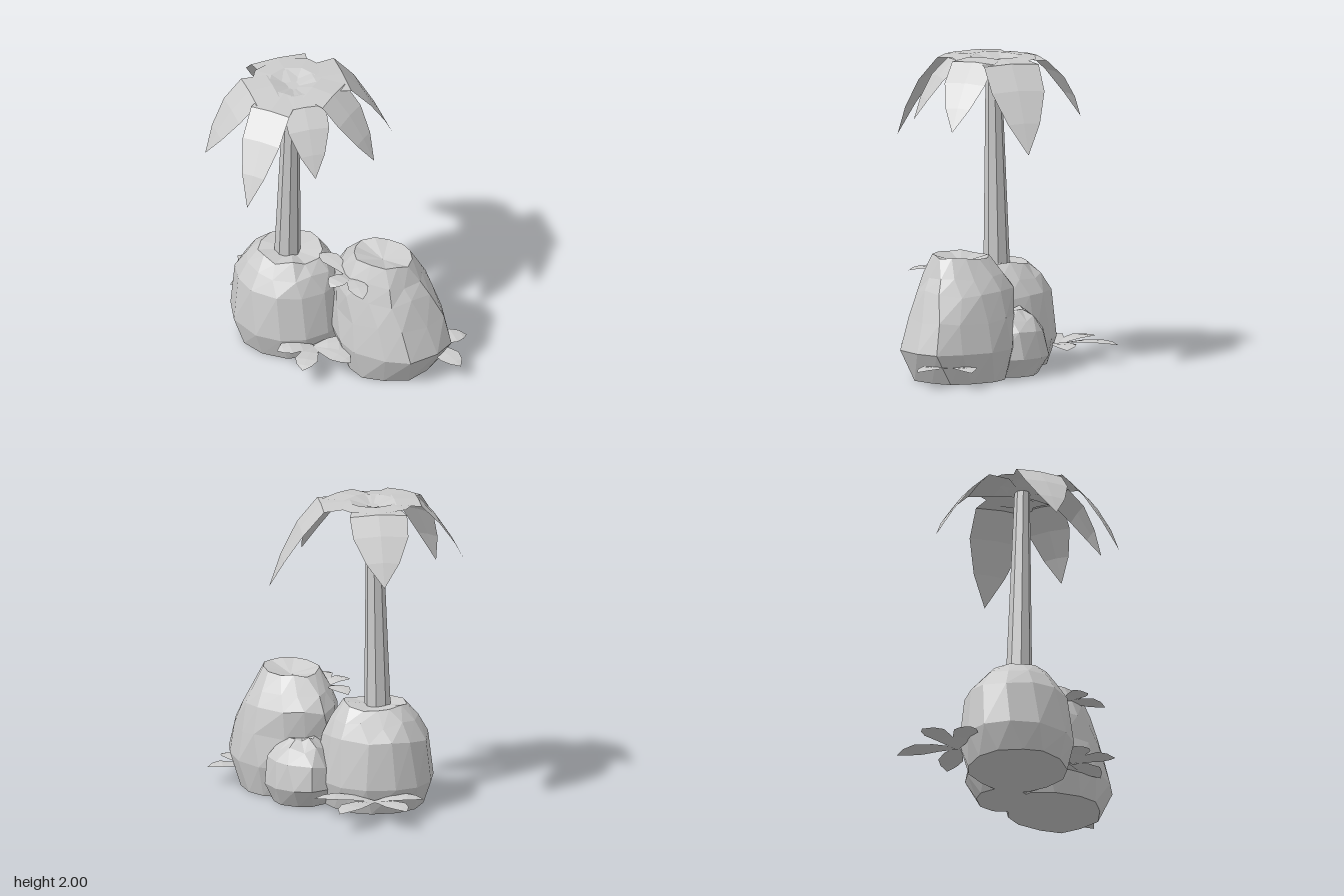
import * as THREE from 'three';

const stone = new THREE.MeshStandardMaterial({ color: 0xcccccc, flatShading: true, side: THREE.DoubleSide });
stone.name = 'pale grey';

// Small seeded generator for the uneven rock facets
function seeded(seed) {
  let s = seed;
  return () => (s = (s * 16807) % 2147483647) / 2147483647;
}

function buildMesh(name, positions, index) {
  const g = new THREE.BufferGeometry();
  g.setAttribute('position', new THREE.Float32BufferAttribute(positions, 3));
  g.setIndex(index);
  g.computeVertexNormals();
  const mesh = new THREE.Mesh(g, stone);
  mesh.name = name;
  return mesh;
}

// Faceted boulder from elliptical rings [y, cx, cz, rx, rz], closed above and below
function rock(name, rings, sides, topDip, seed) {
  const rnd = seeded(seed);
  const pos = [], idx = [];
  const columns = Array.from({ length: sides }, () => 0.96 + 0.08 * rnd());
  rings.forEach(([y, cx, cz, rx, rz], r) => {
    for (let i = 0; i < sides; i++) {
      const a = ((i + 0.2 * r + 0.3 * (rnd() - 0.5)) / sides) * Math.PI * 2;
      const k = columns[i] * (0.98 + 0.05 * rnd());
      const lift = r > 1 ? (rnd() - 0.5) * 0.035 : 0;
      pos.push(cx + Math.cos(a) * rx * k, y + lift, cz + Math.sin(a) * rz * k);
    }
  });
  for (let r = 0; r < rings.length - 1; r++) {
    for (let i = 0; i < sides; i++) {
      const j = (i + 1) % sides, a = r * sides, b = a + sides;
      idx.push(a + i, b + i, a + j, a + j, b + i, b + j);
    }
  }
  const last = (rings.length - 1) * sides, base = rings.length * sides;
  const low = rings[0], high = rings[rings.length - 1];
  pos.push(low[1], low[0], low[2], high[1], high[0] - topDip, high[2]);
  for (let i = 0; i < sides; i++) {
    const j = (i + 1) % sides;
    idx.push(base, i, j, base + 1, last + j, last + i);
  }
  return buildMesh(name, pos, idx);
}

// Creased blade along a direction: sections are [distance, y, halfWidth]
function blade(name, x, z, angle, sections, crease) {
  const pos = [], idx = [];
  const dx = Math.cos(angle), dz = Math.sin(angle);
  sections.forEach(([d, y, w], s) => {
    for (const side of [-1, 0, 1]) {
      pos.push(x + dx * d - dz * w * side, y - (side ? crease * w : 0), z + dz * d + dx * w * side);
    }
    if (s === 0) return;
    for (const k of [0, 1]) {
      const a = (s - 1) * 3 + k, b = a + 3;
      idx.push(a, a + 1, b, b, a + 1, b + 1);
    }
  });
  return buildMesh(name, pos, idx);
}

export function createModel() {
  const model = new THREE.Group();
  model.name = 'palmOnRocks';

  // Boulders
  model.add(
    rock('leftRock', [
      [0, -0.27, -0.02, 0.33, 0.315],
      [0.17, -0.28, -0.02, 0.385, 0.365],
      [0.46, -0.29, -0.02, 0.345, 0.325],
      [0.57, -0.28, -0.02, 0.28, 0.27],
      [0.66, -0.27, -0.02, 0.2, 0.2],
    ], 13, 0.02, 71),
    rock('rightRock', [
      [0, 0.38, -0.21, 0.32, 0.3],
      [0.2, 0.395, -0.21, 0.42, 0.335],
      [0.4, 0.365, -0.22, 0.39, 0.31],
      [0.57, 0.325, -0.22, 0.35, 0.28],
      [0.67, 0.33, -0.21, 0.29, 0.235],
      [0.79, 0.35, -0.2, 0.21, 0.165],
    ], 13, 0.05, 233),
    rock('smallRock', [
      [0, 0.05, -0.36, 0.18, 0.175],
      [0.12, 0.045, -0.36, 0.26, 0.235],
      [0.28, 0.045, -0.36, 0.235, 0.21],
      [0.37, 0.045, -0.36, 0.165, 0.155],
      [0.42, 0.045, -0.36, 0.085, 0.08],
    ], 11, 0.01, 509),
  );

  // Leaning, tapered trunk
  const trunkGeometry = new THREE.CylinderGeometry(0.05, 0.086, 1.36, 8);
  const p = trunkGeometry.attributes.position;
  for (let i = 0; i < p.count; i++) p.setX(i, p.getX(i) + 0.035 * (p.getY(i) / 1.36));
  const trunk = new THREE.Mesh(trunkGeometry, stone);
  trunk.name = 'trunk';
  trunk.position.set(-0.262, 1.28, 0);
  model.add(trunk);

  // Crown: drooping fronds meeting in a shallow cup, [tipX, tipY, tipZ, halfWidth]
  const crown = new THREE.Group();
  crown.name = 'crown';
  const cx = -0.24, cz = -0.01;
  const tips = [
    [-0.55, 1.57, 0.5, 0.155],
    [-0.08, 1.44, 0.65, 0.135],
    [0.2, 1.6, 0.3, 0.14],
    [0.34, 1.57, -0.12, 0.15],
    [0.12, 1.44, -0.57, 0.185],
    [-0.74, 1.57, -0.32, 0.185],
  ];
  tips.forEach(([tx, ty, tz, w], i) => {
    const length = Math.hypot(tx - cx, tz - cz), drop = 1.995 - ty;
    const top = 1.998 - 0.006 * (i % 3);
    crown.add(blade('frond', cx, cz, Math.atan2(tz - cz, tx - cx), [
      [0.02, 1.955, 0.03],
      [0.14, top, w * 0.8],
      [length * 0.5, top - 0.008, w],
      [length * 0.7, 1.995 - drop * 0.3, w * 0.96],
      [length * 0.87, 1.995 - drop * 0.65, w * 0.58],
      [length, ty, 0],
    ], 0.06));
  });
  const cup = new THREE.Mesh(new THREE.LatheGeometry(
    [[0, 1.94], [0.09, 1.965], [0.16, 1.99], [0.28, 1.98]].map(([r, y]) => new THREE.Vector2(r, y)), 9), stone);
  cup.name = 'crownCup';
  cup.position.set(cx, 0, cz);
  crown.add(cup);
  model.add(crown);

  // Small leaf clusters tucked against the rocks: centre, then leaf tips [x, z]
  const clusters = [
    ['leftLeaves', -0.58, 0.13, -0.27, [[-0.7, -0.66], [-0.93, -0.29], [-0.31, -0.55], [-0.77, -0.02]], 0.08],
    ['rightLeaves', 0.6, 0.115, -0.35, [[0.73, -0.58], [0.92, -0.29], [0.45, -0.12]], 0.075],
    ['frontLeaves', 0.07, 0.145, 0.16, [[0.19, 0.42], [0.38, 0.16], [-0.07, 0.36], [0.26, 0]], 0.075],
    ['upperLeaves', 0.22, 0.68, -0.02, [[0.46, 0.14], [0.22, 0.18], [-0.07, -0.07]], 0.065],
  ];
  for (const [name, x, y, z, leafTips, w] of clusters) {
    const cluster = new THREE.Group();
    cluster.name = name;
    for (const [tx, tz] of leafTips) {
      const d = Math.hypot(tx - x, tz - z);
      cluster.add(blade('leaf', x, z, Math.atan2(tz - z, tx - x), [
        [0, y - 0.02, 0.02],
        [d * 0.35, y + 0.005, w * 0.75],
        [d * 0.65, y + 0.012, w],
        [d * 0.85, y + 0.005, w * 0.65],
        [d, y - 0.01, 0],
      ], 0.05));
    }
    model.add(cluster);
  }
  return model;
}
